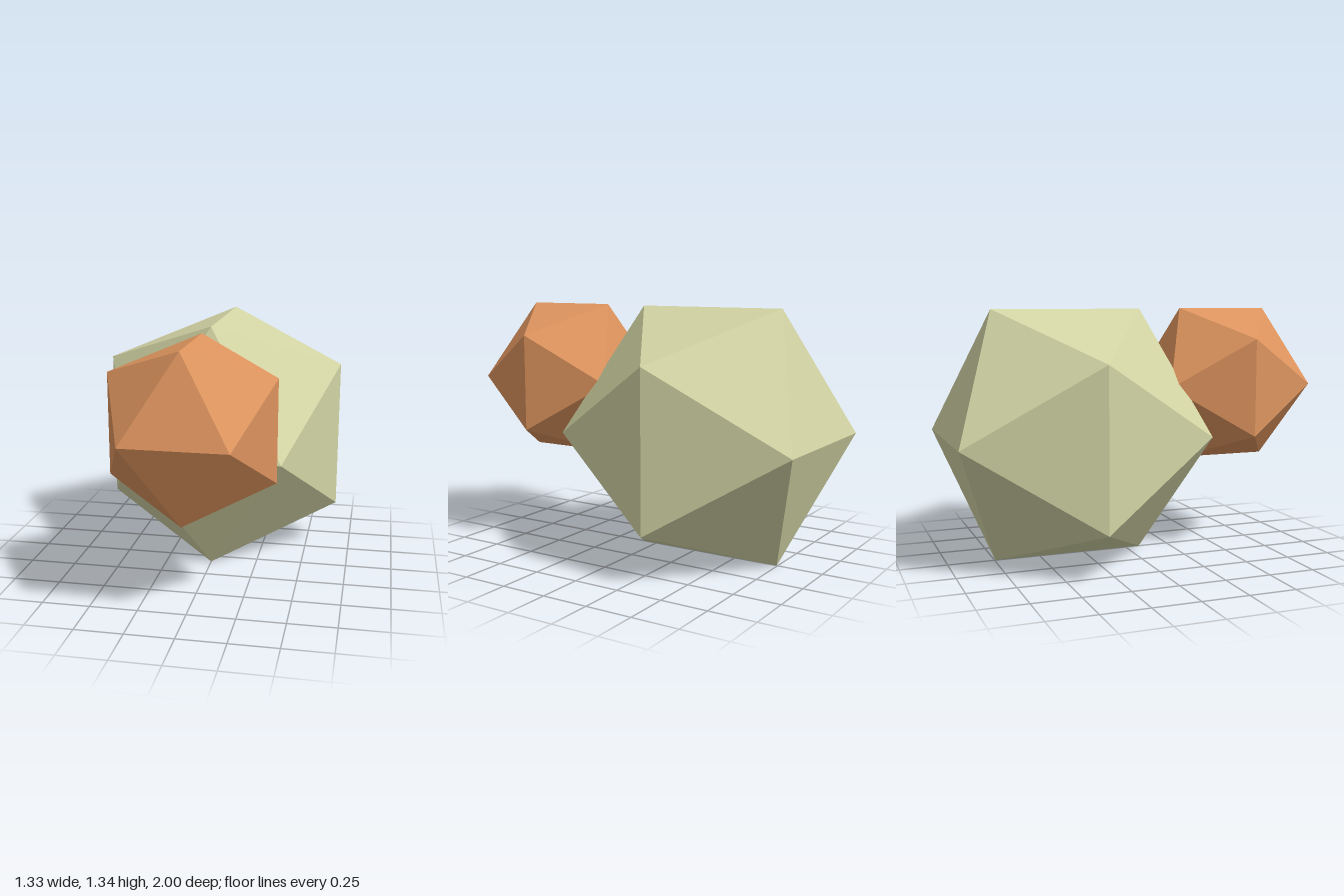
import * as THREE from 'three';

// Half extent of a unit icosahedron along its axes
const HALF = 0.85065;

function icosahedron(name, halfSize, y, z, material) {
  const geometry = new THREE.IcosahedronGeometry(halfSize / HALF, 0);
  geometry.rotateY(Math.PI / 2); // horizontal edges run along x at front and back
  const mesh = new THREE.Mesh(geometry, material);
  mesh.name = name;
  mesh.position.set(0, y, z);
  return mesh;
}

export function createModel() {
  const green = new THREE.MeshStandardMaterial({ color: 0xd2d4a4, flatShading: true });
  green.name = 'pale olive green';
  const orange = new THREE.MeshStandardMaterial({ color: 0xdd945e, flatShading: true });
  orange.name = 'soft orange';

  const model = new THREE.Group();
  model.name = 'twoIcosahedra';
  model.add(
    icosahedron('largeBody', 0.667, 0.667, -0.333, green),
    icosahedron('smallFrontBody', 0.42, 0.917, 0.58, orange), // partly sunk into the large body
  );
  return model;
}
